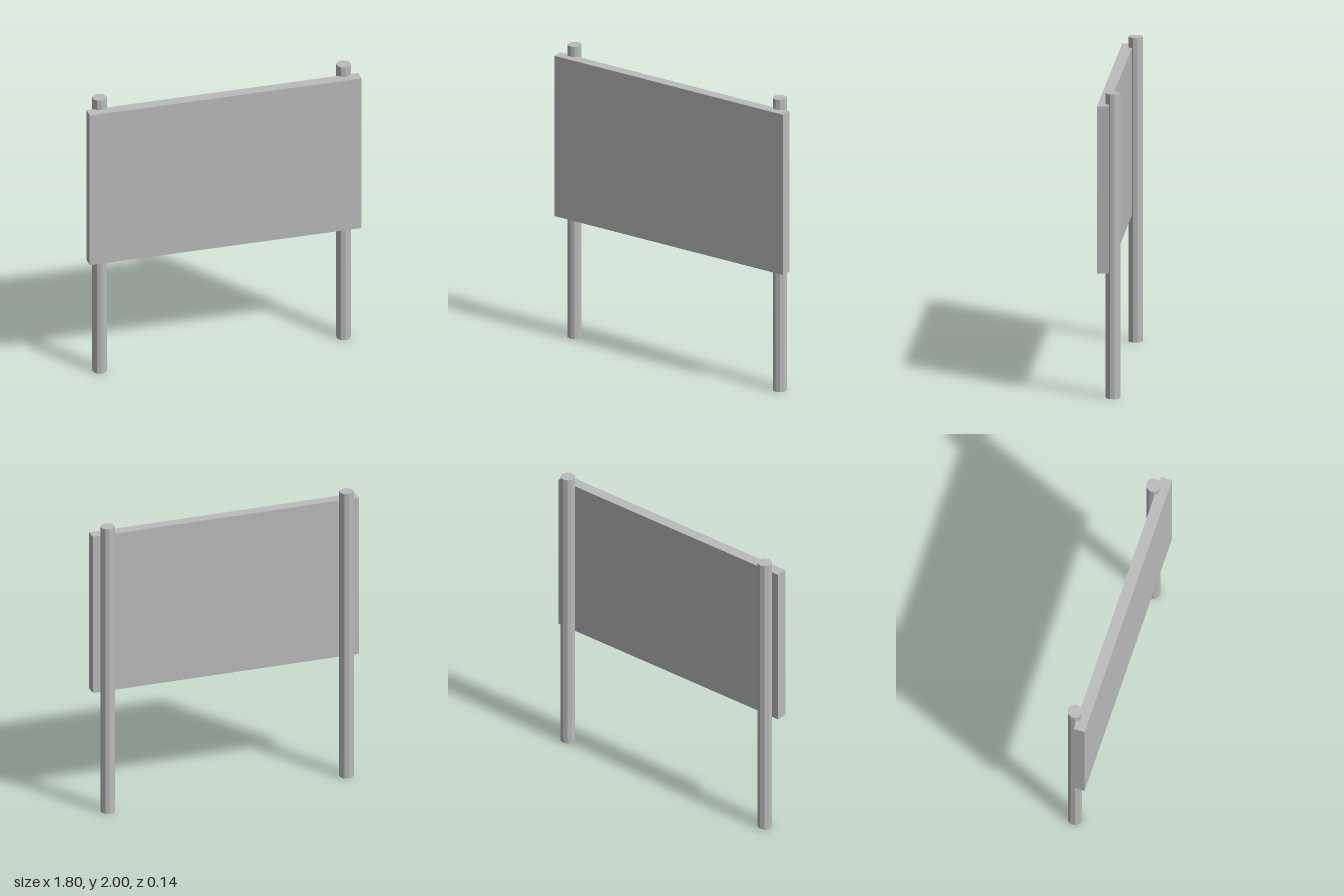
import * as THREE from 'three';

export function createModel() {
  const model = new THREE.Group();
  model.name = 'signboard';

  const grey = new THREE.MeshStandardMaterial({ color: 0xbbbbbb });
  grey.name = 'plain grey';
  grey.flatShading = true;

  // Flat board in front of the posts
  const board = new THREE.Mesh(new THREE.BoxGeometry(1.805, 1.097, 0.074), grey);
  board.name = 'board';
  board.position.set(0, 1.3825, 0.034);
  model.add(board);

  // Two ten-sided posts, slightly sunk into the back of the board
  const postGeometry = new THREE.CylinderGeometry(0.0473, 0.0473, 2, 10);
  for (const side of [-1, 1]) {
    const post = new THREE.Mesh(postGeometry, grey);
    post.name = side > 0 ? 'leftPost' : 'rightPost';
    post.position.set(side * 0.81, 1, -0.0237);
    model.add(post);
  }

  return model;
}
